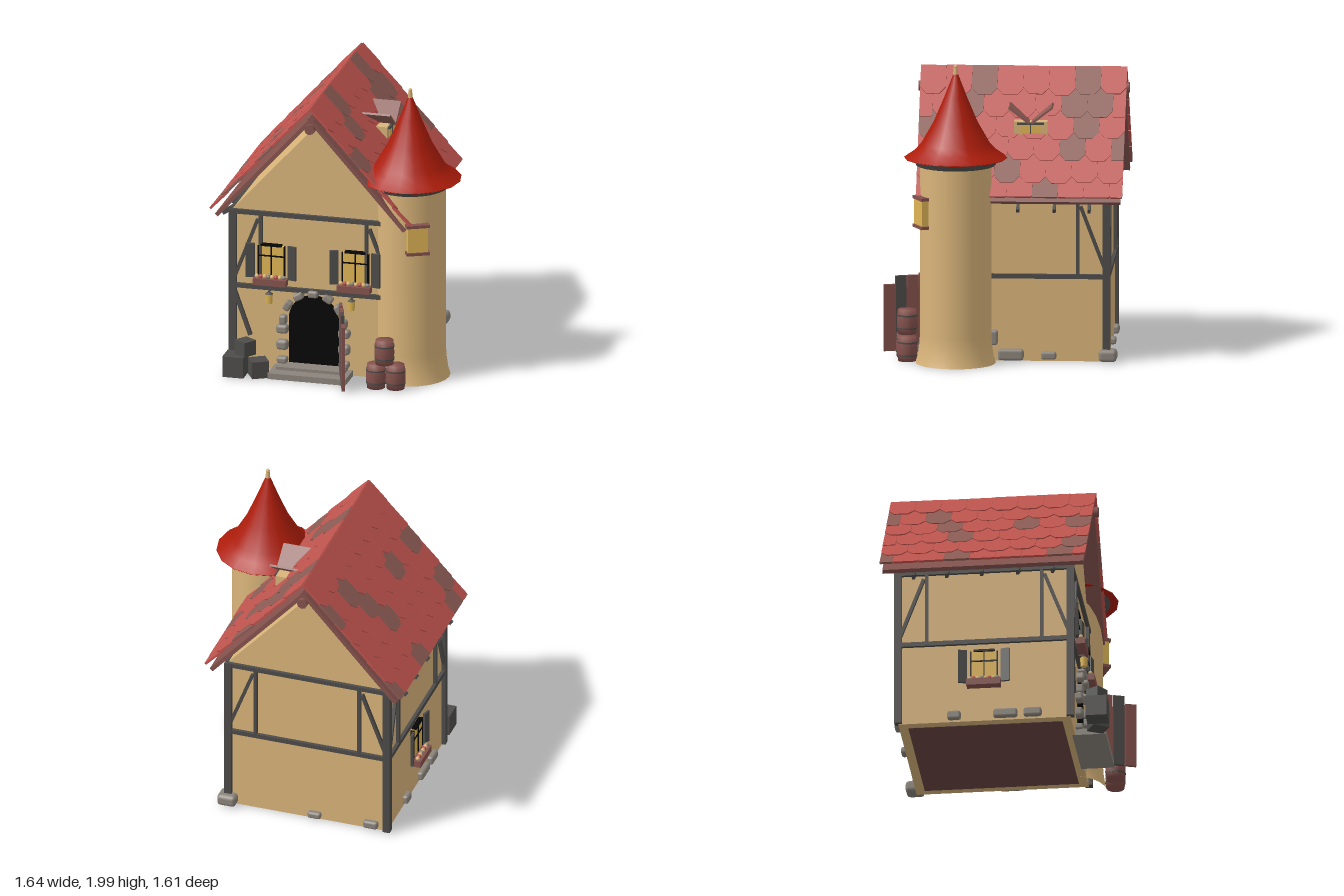
import * as THREE from 'three';
import { RoundedBoxGeometry } from 'three/addons/geometries/RoundedBoxGeometry.js';

const mat = (name, color) => {
  const m = new THREE.MeshStandardMaterial({ color });
  m.name = name;
  return m;
};

export function createModel() {
  const plaster = mat('plaster', 0xdab57a), tileRed = mat('tile red', 0xc0544e),
    tileBrown = mat('tile brown', 0x8d5c55), wood = mat('reddish wood', 0x85524d),
    timber = mat('dark timber', 0x4d4c4a), stone = mat('stone', 0x8b847b),
    glass = mat('lit glass', 0xe0b656), black = mat('dark opening', 0x060606),
    coneRed = mat('tower red', 0xad1c0a), floorBrown = mat('floor brown', 0x6a4541);

  const model = new THREE.Group();
  model.name = 'cottage';
  let seed = 7;
  const rand = () => (seed = (seed * 16807) % 2147483647) / 2147483647;

  const add = (parent, name, geo, m, x = 0, y = 0, z = 0) => {
    const mesh = new THREE.Mesh(geo, m);
    mesh.name = name;
    mesh.position.set(x, y, z);
    parent.add(mesh);
    return mesh;
  };
  const box = (p, name, w, h, d, m, x, y, z) => add(p, name, new THREE.BoxGeometry(w, h, d), m, x, y, z);
  const group = (p, name, x, y, z, ry = 0) => {
    const g = new THREE.Group();
    g.name = name;
    g.position.set(x, y, z);
    g.rotation.y = ry;
    p.add(g);
    return g;
  };
  const rock = (p, x, y, z, w, h, d, rz = 0) => {
    add(p, 'stone', new RoundedBoxGeometry(w, h, d, 1, Math.min(w, h, d) * 0.32), stone, x, y, z).rotation.z = rz;
  };
  // Straight timber between two points on a wall plane
  const beam = (p, name, x1, y1, x2, y2, t = 0.026) => {
    const b = box(p, name, Math.hypot(x2 - x1, y2 - y1), t, 0.03, timber, (x1 + x2) / 2, (y1 + y2) / 2, 0.008);
    b.rotation.z = Math.atan2(y2 - y1, x2 - x1);
  };

  // House body with gables, and floor plate
  const CX = -0.14, CZ = -0.11;
  const gable = new THREE.Shape([[-0.55, 0.012], [0.55, 0.012], [0.55, 1.11], [0, 1.72], [-0.55, 1.11]]
    .map(([x, y]) => new THREE.Vector2(x, y)));
  add(model, 'houseBody', new THREE.ExtrudeGeometry(gable, { depth: 1.14, bevelEnabled: false }), plaster, CX, 0, -0.68);
  box(model, 'floorPlate', 0.98, 0.02, 1.02, floorBrown, CX, 0.019, CZ);

  // Timber framing on four walls
  const [front, right, back, left] = [['front', 0, 0.57, 0.55], ['right', Math.PI / 2, 0.55, 0.57],
    ['back', Math.PI, 0.57, 0.55], ['left', -Math.PI / 2, 0.55, 0.57]].map(([n, ry, out, hw]) => {
    const g = group(model, n + 'Wall', CX + Math.sin(ry) * out, 0, CZ + Math.cos(ry) * out, ry);
    beam(g, 'middleRail', -hw, 0.58, hw, 0.58, 0.03);
    beam(g, 'topRail', -hw, 1.095, hw, 1.095, 0.03);
    for (const s of [-1, 1]) {
      beam(g, 'stud', s * (hw - 0.19), 0.58, s * (hw - 0.19), 1.095, 0.022);
      beam(g, 'brace', s * (hw - 0.01), 0.63, s * (hw - 0.17), 1.05, 0.022);
    }
    return g;
  });
  beam(front, 'lowerBrace', -0.54, 0.55, -0.43, 0.24);
  for (const x of [-0.55, 0.55]) for (const z of [-0.57, 0.57])
    box(model, 'cornerPost', 0.05, 1.09, 0.05, timber, CX + x, 0.56, CZ + z);

  // Roof: boards and staggered rows of chamfered tiles on both slopes
  const angle = Math.atan2(0.76, 0.68), ROWS = 6, PITCH = 0.169, TW = 0.17, START = -0.045;
  const basis = new THREE.Matrix4().makeBasis(new THREE.Vector3(0, 0, 1),
    new THREE.Vector3(1, 0, 0), new THREE.Vector3(0, 1, 0));
  const tileGeo = (w, l, c) => {
    const s = new THREE.Shape([[-w / 2, 0], [w / 2, 0], [w / 2, l - c], [w / 2 - c * 0.8, l], [-w / 2 + c * 0.8, l], [-w / 2, l - c]]
      .map(([x, y]) => new THREE.Vector2(x, y)));
    return new THREE.ExtrudeGeometry(s, { depth: 0.014, bevelEnabled: false }).applyMatrix4(basis);
  };
  // Plan positions (x, z) of brown tiles
  const brownSpots = [[-0.42, -0.4], [-0.3, -0.4], [-0.55, -0.2], [-0.77, -0.35], [-0.77, -0.74], [-0.43, 0.21],
    [-0.77, 0.43], [-0.65, 0.53], [-0.41, 0.53], [-0.3, -0.75], [0.02, -0.67], [0.13, -0.6], [0.03, -0.4],
    [0.24, -0.42], [0.36, -0.1], [0.47, -0.28], [0.02, 0.24], [-0.09, 0.22], [0.16, 0.5], [0.24, -0.74], [-0.09, -0.6]];
  for (const side of [1, -1]) {
    const turn = group(model, side > 0 ? 'rightRoof' : 'leftRoof', CX, 1.82, CZ, side > 0 ? 0 : Math.PI);
    const slope = group(turn, 'slope', 0, 0, 0);
    slope.rotation.z = -angle;
    box(slope, 'roofBoard', 0.98, 0.027, 1.33, wood, 0.485, -0.014, 0);
    for (let r = 0; r < ROWS; r++) {
      const odd = r % 2;
      for (let i = 0; i < (odd ? 9 : 8); i++) {
        const half = odd && (i === 0 || i === 8);
        const w = half ? TW / 2 : TW;
        const z = half ? (i ? 1 : -1) * (0.68 - TW / 4) : -0.68 + TW * (odd ? i : i + 0.5);
        const brown = brownSpots.some(([x, wz]) => Math.sign(x - CX) === side &&
          Math.floor(Math.abs(x - CX) / 0.68 * ROWS) === r && Math.abs((wz - CZ) * side - z) < w / 2);
        const last = r === ROWS - 1;
        const len = PITCH + (last ? 0 : 0.045 + rand() * 0.02);
        const t = add(slope, 'roofTile', tileGeo(w - 0.001, len, last || half ? 0.008 : 0.05),
          brown ? tileBrown : tileRed, START + r * PITCH, 0.031 + rand() * 0.003, z);
        t.rotation.z = 0.035;
      }
    }
    // Rafter ends under the eaves
    for (const z of [-0.46, -0.23, 0.01, 0.24, 0.46])
      box(turn, 'rafterEnd', 0.12, 0.03, 0.02, timber, 0.6, -0.755, z).rotation.z = -0.6;
  }
  const ridge = add(model, 'ridgeBeam', new THREE.CylinderGeometry(0.035, 0.035, 1.39, 8), wood, CX, 1.745, CZ);
  ridge.rotation.x = Math.PI / 2;

  // Dormer with a valley roof
  const dormer = group(model, 'dormer', 0, 0, -0.17);
  box(dormer, 'dormerWall', 0.2, 0.17, 0.22, plaster, 0.12, 1.49, 0);
  box(dormer, 'dormerWindow', 0.006, 0.065, 0.13, glass, 0.223, 1.53, 0);
  box(dormer, 'dormerLintel', 0.02, 0.014, 0.18, timber, 0.225, 1.563, 0);
  box(dormer, 'dormerMullion', 0.012, 0.07, 0.008, timber, 0.225, 1.53, 0);
  for (const s of [-1, 1]) {
    const p = box(dormer, 'dormerRoof', 0.27, 0.014, 0.17, tileBrown, 0.115, 1.62, s * 0.075);
    p.rotation.x = -s * 0.66;
  }

  // Window with shutters and flower box
  const windowUnit = (wall, x, y) => {
    const g = group(wall, 'window', x, y, 0);
    box(g, 'pane', 0.18, 0.21, 0.02, glass, 0, 0, 0.01);
    box(g, 'lintel', 0.14, 0.014, 0.04, black, 0, 0.11, 0.012);
    for (const s of [-1, 0, 1]) box(g, 'mullion', 0.009, 0.21, 0.03, black, s * 0.087, 0, 0.011);
    box(g, 'crossbar', 0.17, 0.009, 0.03, black, 0, 0.035, 0.011);
    for (const s of [-1, 1])
      box(g, 'shutter', 0.06, 0.235, 0.016, timber, s * 0.142, -0.002, 0.03).rotation.y = -s * 0.2;
    box(g, 'flowerBox', 0.225, 0.045, 0.065, wood, 0, -0.135, 0.045);
    for (let i = 0; i < 8; i++)
      add(g, 'flower', new THREE.SphereGeometry(0.015, 8, 6), [plaster, tileRed, plaster, stone][i % 4], -0.091 + i * 0.026, -0.101, 0.05);
  };
  windowUnit(front, -0.285, 0.77);
  windowUnit(front, 0.285, 0.77);
  windowUnit(left, 0, 0.4);

  // Wall lanterns
  for (const x of [-0.29, 0.27]) {
    const l = group(front, 'lantern', x, 0.522, 0.06);
    add(l, 'lanternGlass', new THREE.CylinderGeometry(0.026, 0.022, 0.064, 6), glass);
    add(l, 'lanternCap', new THREE.CylinderGeometry(0.01, 0.028, 0.012, 6), timber, 0, 0.038);
    box(l, 'lanternArm', 0.01, 0.01, 0.07, timber, 0, 0.05, -0.03);
  }

  // Arched doorway, stone surround and steps
  const arch = new THREE.Shape();
  arch.moveTo(-0.17, 0.03);
  arch.lineTo(0.17, 0.03);
  arch.lineTo(0.17, 0.38);
  arch.absarc(0, 0.38, 0.17, 0, Math.PI);
  add(front, 'doorway', new THREE.ExtrudeGeometry(arch, { depth: 0.005, bevelEnabled: false }), black);
  for (const s of [-1, 1]) {
    rock(front, s * 0.21, 0.09, 0.015, 0.07, 0.045, 0.07);
    rock(front, s * 0.21, 0.195, 0.015, 0.08, 0.07, 0.07);
    rock(front, s * 0.21, 0.305, 0.015, 0.08, 0.06, 0.07);
    rock(front, s * 0.205, 0.37, 0.015, 0.05, 0.065, 0.07);
  }
  for (let i = 1; i < 6; i++) {
    const a = Math.PI * i / 6;
    rock(front, Math.cos(a) * 0.2, 0.375 + Math.sin(a) * 0.19, 0.015, 0.048, 0.07, 0.07, a);
  }
  box(model, 'lowerStep', 0.53, 0.04, 0.22, stone, CX, 0.03, 0.55);
  box(model, 'upperStep', 0.46, 0.025, 0.13, stone, CX, 0.058, 0.51);

  // Open plank door
  const door = group(model, 'openDoor', 0.05, 0, 0.5, -1.25);
  [[0.53, wood], [0.52, wood], [0.52, timber], [0.465, wood]].forEach(([top, m], i) =>
    box(door, 'plank', 0.074, top - 0.02, 0.022, m, 0.04 + i * 0.08, top / 2 + 0.01, 0));
  box(door, 'doorCore', 0.3, 0.4, 0.01, wood, 0.16, 0.24, 0);

  // Round tower, open below, with concave conical roof
  const tower = group(model, 'tower', 0.475, 0, 0.31);
  const lathe = (name, pts, m, seg) =>
    add(tower, name, new THREE.LatheGeometry(pts.map(([x, y]) => new THREE.Vector2(x, y)), seg), m);
  lathe('towerWall', [[0.265, 0.01], [0.25, 0.06], [0.24, 0.13], [0.235, 0.2], [0.235, 1.36]], plaster, 24);
  add(tower, 'towerCollar', new THREE.CylinderGeometry(0.285, 0.262, 0.045, 24), timber, 0, 1.355);
  add(tower, 'eaveUnderside', new THREE.CylinderGeometry(0.338, 0.338, 0.005, 16), coneRed, 0, 1.38);
  lathe('towerRoof', [[0.34, 1.38], [0.275, 1.425], [0.228, 1.475], [0.145, 1.62], [0.075, 1.785], [0.011, 1.95]], coneRed, 16);
  add(tower, 'finial', new THREE.CylinderGeometry(0.012, 0.018, 0.06, 8), plaster, 0, 1.957);
  add(tower, 'finialTip', new THREE.SphereGeometry(0.014, 8, 6), plaster, 0, 1.986);
  const bay = group(tower, 'towerWindow', 0, 1.03, 0, 0.45);
  box(bay, 'bayGlass', 0.135, 0.17, 0.065, glass, 0, 0, 0.235);
  for (const s of [-1, 1]) box(bay, 'baySill', 0.155, 0.02, 0.085, wood, 0, s * 0.095, 0.235);

  // Barrels
  const barrelPts = [[0, 0], [0.06, 0], [0.066, 0.05], [0.067, 0.08], [0.066, 0.115], [0.06, 0.165], [0, 0.165]]
    .map(([x, y]) => new THREE.Vector2(x, y));
  for (const [x, y, z] of [[0.33, 0.015, 0.645], [0.46, 0.015, 0.63], [0.385, 0.182, 0.635]]) {
    const b = group(model, 'barrel', x, y, z);
    add(b, 'barrelBody', new THREE.LatheGeometry(barrelPts, 12), wood);
    for (const h of [0.04, 0.125]) add(b, 'barrelHoop', new THREE.CylinderGeometry(0.068, 0.068, 0.01, 12), timber, 0, h);
  }

  // Crates
  for (const [x, y, z, s, ry] of [[-0.63, 0.083, 0.63, 0.142, 0], [-0.475, 0.07, 0.62, 0.115, 0.5], [-0.565, 0.205, 0.62, 0.1, -0.6]])
    box(model, 'crate', s, s, s, timber, x, y, z).rotation.y = ry;

  // Loose stones along the foot of the walls
  rock(right, -0.06, 0.055, 0.01, 0.17, 0.075, 0.06);
  rock(right, 0.19, 0.05, 0.01, 0.1, 0.052, 0.05);
  rock(right, -0.17, 0.17, 0.02, 0.05, 0.1, 0.06);
  rock(back, -0.55, 0.055, 0.01, 0.13, 0.08, 0.12);
  rock(back, 0.05, 0.045, 0.01, 0.09, 0.045, 0.05);
  rock(back, 0.44, 0.05, 0.01, 0.1, 0.055, 0.05);
  for (const [x, w] of [[-0.2, 0.09], [0.14, 0.16], [0.32, 0.12]]) rock(left, x, 0.055, 0.01, w, 0.06, 0.05);
  return model;
}
